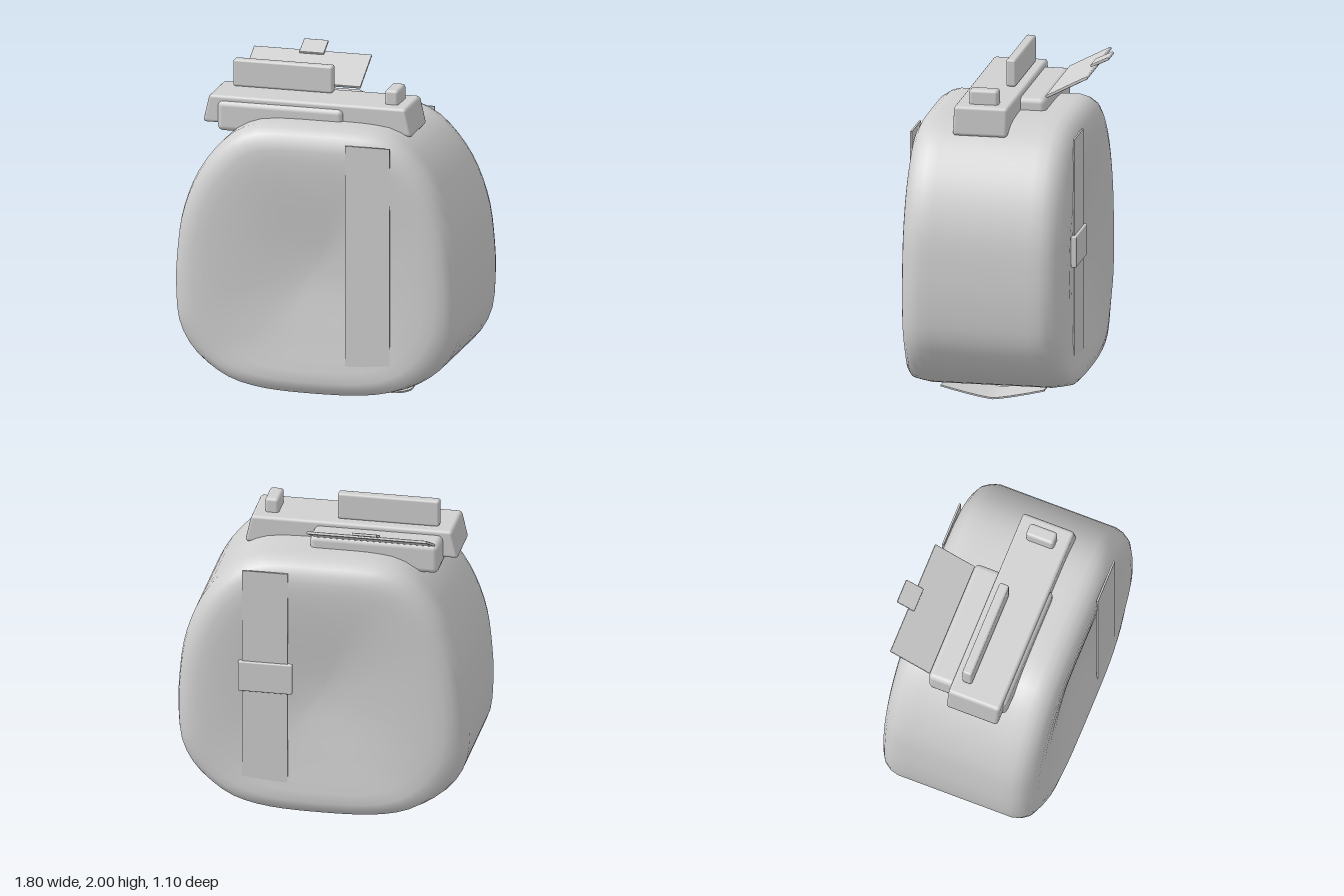
import * as THREE from 'three';
import { RoundedBoxGeometry } from 'three/addons/geometries/RoundedBoxGeometry.js';

const grey = new THREE.MeshStandardMaterial({ color: 0xd0d0d0 });
grey.name = 'plain grey';

function add(group, name, geometry, x = 0, y = 0, z = 0) {
  const mesh = new THREE.Mesh(geometry, grey);
  mesh.name = name;
  mesh.position.set(x, y, z);
  group.add(mesh);
  return mesh;
}

// Box given by its limits, with optional rounded edges
function box(group, name, [x0, x1], [y0, y1], [z0, z1], r = 0) {
  const size = [x1 - x0, y1 - y0, z1 - z0];
  const geometry = r ? new RoundedBoxGeometry(...size, 2, r) : new THREE.BoxGeometry(...size);
  return add(group, name, geometry, (x0 + x1) / 2, (y0 + y1) / 2, (z0 + z1) / 2);
}

// Lean both ends of a box inward towards its top
function taper(mesh, height, amount) {
  const p = mesh.geometry.attributes.position;
  for (let i = 0; i < p.count; i++) {
    p.setX(i, p.getX(i) - Math.sign(p.getX(i)) * amount * (p.getY(i) / height + 0.5));
  }
}

// Thin tilted plate between two (z, y) points, spanning x0 to x1
function plate(group, name, [z0, y0], [z1, y1], x0, x1, thickness) {
  const length = Math.hypot(z1 - z0, y1 - y0);
  const mesh = add(group, name, new RoundedBoxGeometry(x1 - x0, thickness, length, 1, thickness * 0.3),
    (x0 + x1) / 2, (y0 + y1) / 2, (z0 + z1) / 2);
  mesh.rotation.x = -Math.atan2(y1 - y0, z1 - z0);
}

// Flat strip that hangs down towards its middle
function saggingStrip(width, length, drop) {
  const geometry = new THREE.BoxGeometry(width, 0.01, length, 1, 1, 16);
  const p = geometry.attributes.position;
  for (let i = 0; i < p.count; i++) {
    p.setY(i, p.getY(i) + drop * Math.pow(Math.abs(p.getZ(i)) / (length / 2), 1.25));
  }
  geometry.computeVertexNormals();
  return geometry;
}

// Soft body: rounded outline, swept front to back with dished faces
function bodyGeometry() {
  const half = [[0.3, 1.72], [0.43, 1.7], [0.56, 1.63], [0.74, 1.42], [0.855, 1.14], [0.895, 0.85],
    [0.9, 0.65], [0.875, 0.43], [0.775, 0.26], [0.59, 0.13], [0.38, 0.07]];
  const outline = [[0, 1.725], ...half, [0, 0.05], ...half.slice().reverse().map(([x, y]) => [-x, y])];
  const curve = new THREE.CatmullRomCurve3(outline.map(([x, y]) => new THREE.Vector3(x, y, 0)), true);
  const count = 72, midY = 0.85, midZ = 0.03, dent = 0.432;
  const ring = curve.getSpacedPoints(count).slice(0, count);
  // [inset from the outline, half depth]
  const quarter = [[0, 0.3], [0, 0.37], [0.012, 0.42], [0.04, 0.465], [0.08, 0.49], [0.13, 0.502],
    [0.2, 0.503], [0.3, 0.496], [0.42, 0.482], [0.55, 0.463], [0.7, 0.441], [0.8, 0.433]];
  const rows = [...quarter.slice().reverse().map(([a, d]) => [a, -d]), ...quarter];
  const positions = [], index = [];
  for (const [inset, depth] of rows) {
    for (const p of ring) {
      // Tighter corner and fuller lip along the lower edge
      const low = Math.exp(-((p.y / 0.2) ** 2));
      const k = 1 - (inset - 0.03 * low * THREE.MathUtils.smoothstep(inset, 0, 0.06)) / 0.85;
      const y = midY + (p.y - midY) * k;
      const lip = 0.02 * Math.exp(-(((y - 0.14) / 0.12) ** 2)) * THREE.MathUtils.smoothstep(Math.abs(depth), 0.38, 0.49);
      positions.push(p.x * k, y, midZ + depth + Math.sign(depth) * lip);
    }
  }
  for (let r = 0; r < rows.length - 1; r++) {
    for (let i = 0; i < count; i++) {
      const j = (i + 1) % count, a = r * count + i, b = r * count + j;
      index.push(a, a + count, b, b, a + count, b + count);
    }
  }
  // Close both faces
  const back = positions.length / 3, front = back + 1, last = (rows.length - 1) * count;
  positions.push(0, midY, midZ - dent, 0, midY, midZ + dent);
  for (let i = 0; i < count; i++) {
    const j = (i + 1) % count;
    index.push(back, i, j, front, last + j, last + i);
  }
  const geometry = new THREE.BufferGeometry();
  geometry.setAttribute('position', new THREE.Float32BufferAttribute(positions, 3));
  geometry.setIndex(index);
  geometry.computeVertexNormals();
  return geometry;
}

export function createModel() {
  const model = new THREE.Group();
  model.name = 'bag';
  add(model, 'body', bodyGeometry());

  // Straps on front, back and underside
  const strapX = [0.2, 0.48];
  box(model, 'frontStrap', strapX, [0.24, 1.65], [0.527, 0.538]);
  box(model, 'backStrap', strapX, [0.24, 1.65], [-0.478, -0.467]);
  add(model, 'bottomStrap', saggingStrip(0.28, 0.64, 0.065), 0.34, 0.005, 0.03);
  box(model, 'buckle', [0.17, 0.505], [0.855, 1.05], [-0.495, -0.46], 0.008);

  // Frame on top
  const frame = box(model, 'topFrame', [-0.775, 0.545], [1.655, 1.83], [-0.07, 0.265], 0.02);
  taper(frame, 0.175, 0.04);
  box(model, 'innerFrame', [-0.68, 0.115], [1.61, 1.8], [-0.225, 0.285], 0.035);
  box(model, 'handleBar', [-0.645, -0.018], [1.83, 2.0], [-0.015, 0.047], 0.015);
  box(model, 'knob', [0.35, 0.435], [1.8, 1.92], [0.005, 0.185], 0.02);

  // Open flap with its pull tab
  plate(model, 'flap', [-0.22, 1.803], [-0.477, 1.938], -0.66, 0.083, 0.018);
  plate(model, 'flapTab', [-0.438, 1.933], [-0.55, 1.987], -0.365, -0.21, 0.018);

  // Button underneath
  const buttonProfile = [[0, 0.028], [0.042, 0.028], [0.058, 0.038], [0.058, 0.05], [0.04, 0.07]];
  add(model, 'bottomButton', new THREE.LatheGeometry(buttonProfile.map(([r, y]) => new THREE.Vector2(r, y)), 20), -0.343, 0, 0.032);
  return model;
}
